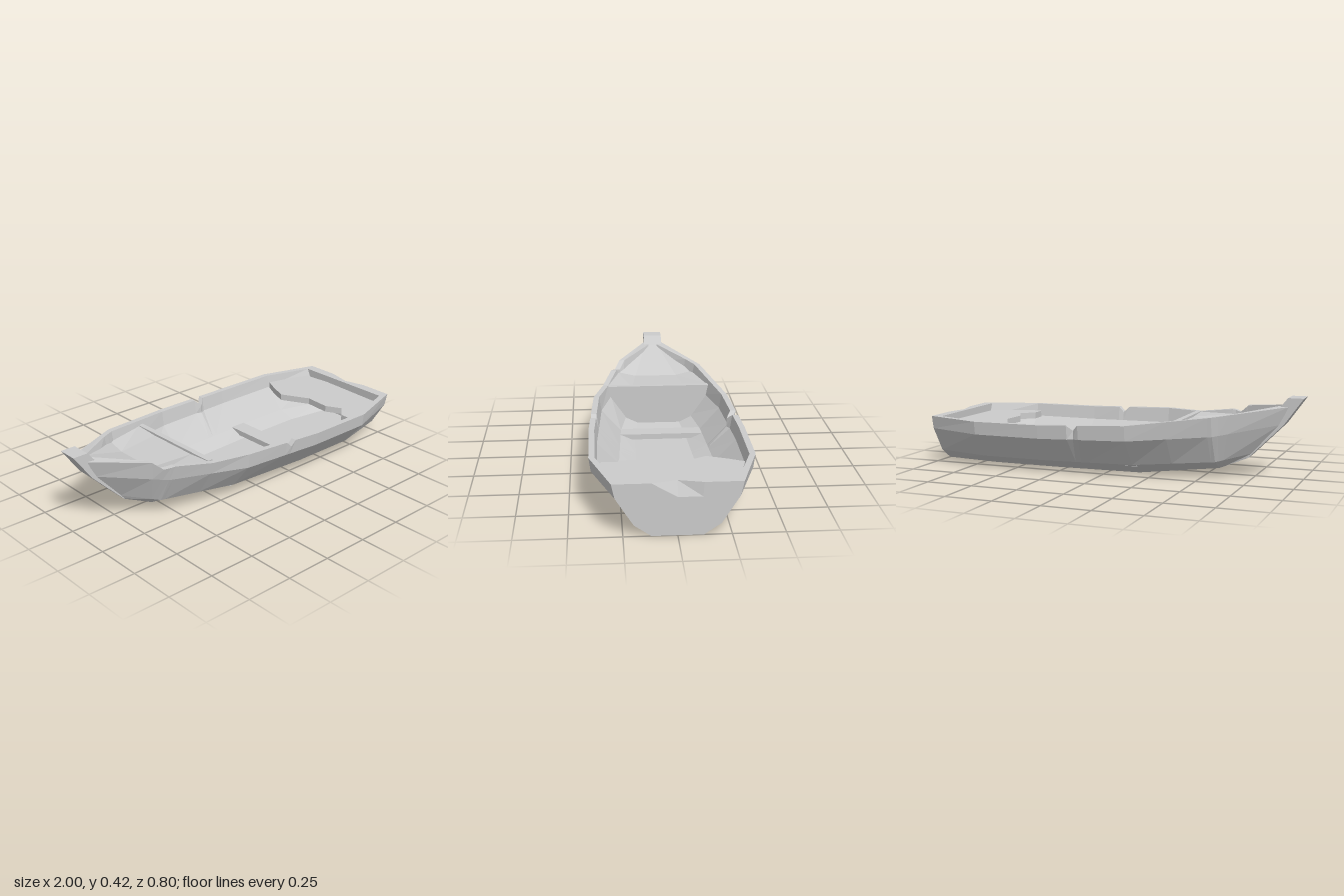
import * as THREE from 'three';

const material = new THREE.MeshStandardMaterial({ color: 0xcccccc, flatShading: true, side: THREE.DoubleSide });

function part(name, geometry) {
  const mesh = new THREE.Mesh(geometry, material);
  mesh.name = name;
  return mesh;
}

// Faceted surface through rows of [x, y, z] points
function grid(rows, closed = false) {
  const n = rows[0].length;
  const index = [];
  for (let i = 0; i < rows.length - 1; i++) {
    for (let j = 0; j < (closed ? n : n - 1); j++) {
      const a = i * n + j, b = i * n + (j + 1) % n;
      index.push(a, b, a + n, b, b + n, a + n);
    }
  }
  const g = new THREE.BufferGeometry();
  g.setAttribute('position', new THREE.Float32BufferAttribute(rows.flat(2), 3));
  g.setIndex(index);
  const flat = g.toNonIndexed();
  flat.computeVertexNormals();
  return flat;
}

function plate(points, depth) {
  const shape = new THREE.Shape(points.map(p => new THREE.Vector2(...p)));
  return new THREE.ExtrudeGeometry(shape, { depth, bevelEnabled: false });
}

// Half sections from stern to stem: bottom edge, chine, bilge, gunwale
const at = (x, ...pts) => pts.map(([z, y]) => [x, y, z]);
const sections = [
  at(1, [0.12, 0], [0.2, 0.055], [0.285, 0.19], [0.3, 0.26]),
  at(0.68, [0.16, 0], [0.275, 0.055], [0.39, 0.19], [0.4, 0.26]),
  at(0.31, [0.16, 0], [0.275, 0.055], [0.39, 0.19], [0.4, 0.262]),
  at(-0.16, [0.14, 0], [0.25, 0.06], [0.36, 0.2], [0.37, 0.28]),
  at(-0.58, [0.09, 0.045], [0.17, 0.09], [0.24, 0.23], [0.26, 0.33]),
  [[-0.72, 0.1, 0.05], [-0.74, 0.125, 0.05], [-0.88, 0.28, 0.05], [-0.925, 0.375, 0.055]],
];

// Profile at section position u: outer points going up, then inner points going down
function profile(u, drop = 0, dent = 0) {
  const i = Math.min(Math.floor(u), sections.length - 2), t = u - i;
  const outer = sections[i].map((p, k) => p.map((v, c) => v + (sections[i + 1][k][c] - v) * t));
  outer[3][1] += drop;
  outer[3][2] -= dent;
  outer[2][2] -= dent / 2;
  const shift = u === 0 ? -0.055 : u === 5 ? 0.05 : 0;
  const thick = [0, 0.028, 0.032, 0.03], lift = [0.04, 0.02, 0, 0];
  const inner = outer.map(([x, y, z], k) =>
    [x + shift, y + lift[k], u === 0 && k === 3 ? 0.285 : Math.max(z - thick[k], 0.02)]);
  return [...outer, ...inner.reverse()];
}

// Stations: position, left rim drop, right rim drop, right side dent (cracks in the planking)
const stations = [
  [0, 0, 0, 0], [1, 0, 0, 0], [2, 0, 0, 0],
  [2.34, 0, 0, 0], [2.4, -0.03, -0.03, 0.025], [2.47, 0, 0, 0],
  [3, 0, 0, 0], [3.48, -0.025, 0, 0], [3.95, -0.02, 0, 0],
  [4, -0.025, 0, 0], [4.09, -0.035, 0, 0], [4.23, 0, 0, 0], [5, 0, 0, 0],
];

export function createModel() {
  const boat = new THREE.Group();
  boat.name = 'rowingBoat';

  // Hull shell with thickness
  const rings = stations.map(([u, left, right, dent]) => {
    const mirrored = profile(u, right, dent).map(([x, y, z]) => [x, y, -z]).reverse();
    return [...profile(u, left), ...mirrored];
  });
  boat.add(part('hull', grid(rings, true)));

  // Transom, dented inward at the middle of its top edge
  const transom = profile(0).map(([x, y, z], row) =>
    [1, 0.4, 0, -0.4, -1].map(k => [x - (row === 3 && k === 0 ? 0.03 : 0), y, z * k]));
  boat.add(part('transom', grid(transom)));

  // Stem post at the bow
  const stem = plate([[-1, 0.42], [-0.9, 0.28], [-0.72, 0.1], [-0.66, 0.1],
    [-0.8, 0.28], [-0.88, 0.37], [-0.92, 0.42]], 0.106);
  stem.translate(0, 0, -0.053);
  boat.add(part('stemPost', stem));

  // Sunken foredeck, sloping down from the stem
  const deck = [
    [-0.87, 0.05, 0.365, 0.03, 0.365],
    [-0.6, 0.225, 0.285, 0.12, 0.26],
    [-0.36, 0.288, 0.277, 0.15, 0.268],
  ].map(([x, edge, edgeY, mid, midY]) =>
    [[x, edgeY, -edge], [x, midY, -mid], [x, midY, mid], [x, edgeY, edge]]);
  boat.add(part('foredeck', grid(deck)));

  // Bulkhead closing the foredeck
  const half = [[0.115, 0.05], [0.185, 0.09], [0.272, 0.215], [0.285, 0.28]];
  const board = plate([...half, ...half.map(([z, y]) => [-z, y]).reverse()], 0.03);
  board.rotateY(Math.PI / 2).translate(-0.365, 0, 0);
  boat.add(part('bulkhead', board));

  // Low cross benches
  for (const [x, length] of [[-0.135, 0.47], [0.328, 0.51]]) {
    const bench = part('bench', new THREE.BoxGeometry(0.09, 0.03, length));
    bench.position.set(x, 0.065, 0);
    boat.add(bench);
  }

  // Stern seat with a broken front edge
  const seat = plate([[0.68, -0.35], [0.93, -0.285], [0.945, -0.12], [0.93, 0.28], [0.67, 0.35],
    [0.645, 0.34], [0.645, 0.265], [0.715, 0.205], [0.67, 0.12], [0.68, -0.02],
    [0.6, -0.17], [0.64, -0.27]], 0.035);
  seat.rotateX(Math.PI / 2).translate(0, 0.222, 0);
  boat.add(part('sternSeat', seat));

  return boat;
}
